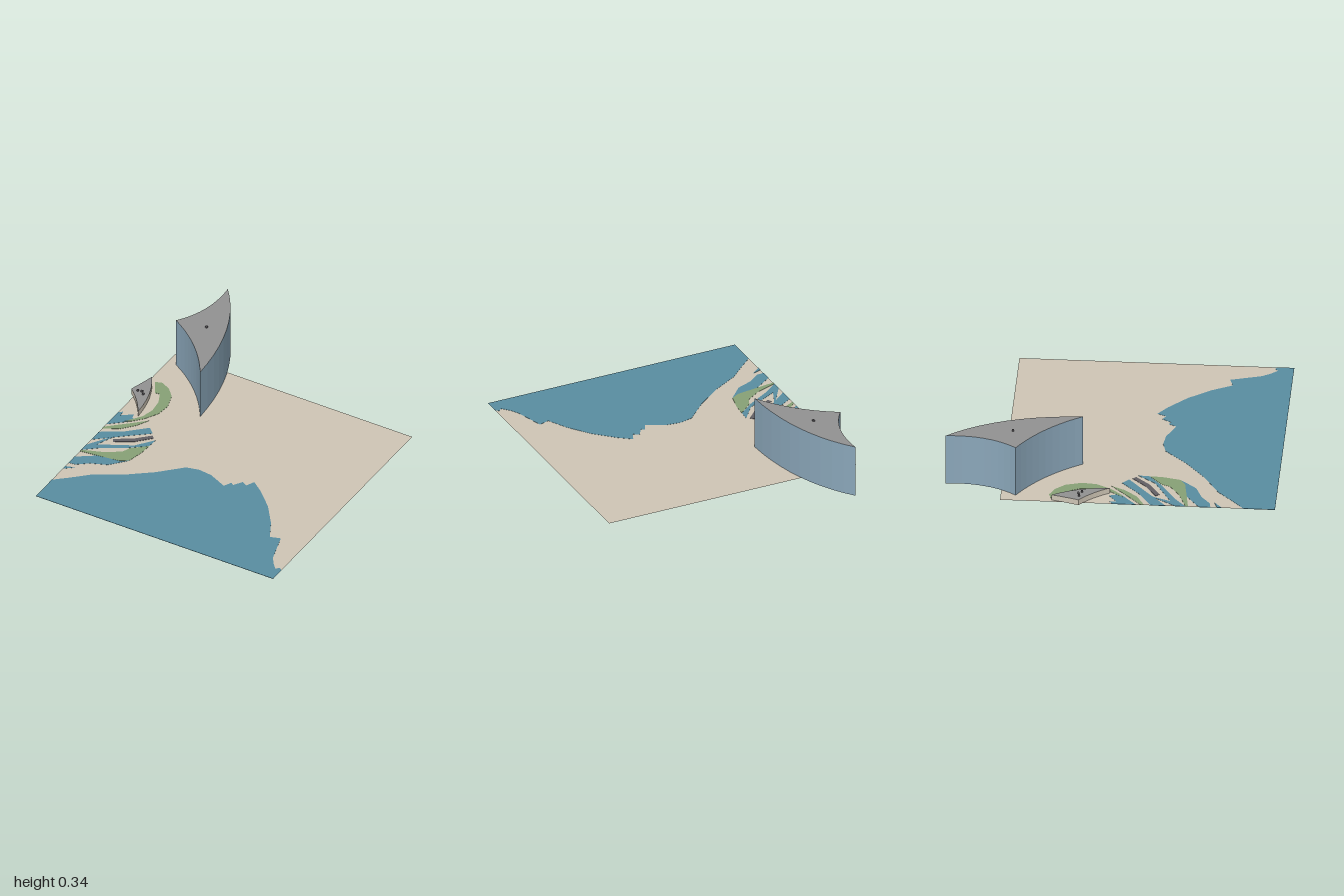
import * as THREE from 'three';

const mat = (color) => new THREE.MeshStandardMaterial({ color, side: THREE.DoubleSide, flatShading: true });
const SAND = mat(0xcfc6b6), WATER = mat(0x598ea1), GREEN = mat(0x87a176);
const DARK = mat(0x625f64), ROOF = mat(0x929292), GLASS = mat(0x8ba7ba);

// Plan outlines are [x, z] pairs; laid flat after being drawn as (x, -z)
const planShape = (pts) => new THREE.Shape(pts.map(([x, z]) => new THREE.Vector2(x, -z)));

function addMesh(parent, name, geometry, material) {
  const mesh = new THREE.Mesh(geometry, material);
  mesh.name = name;
  parent.add(mesh);
  return mesh;
}

// Flat patch, or a thin slab when it has a depth
function addPatch(parent, name, pts, material, y, depth) {
  const shape = planShape(pts);
  const geo = depth ? new THREE.ExtrudeGeometry(shape, { depth, bevelEnabled: false }) : new THREE.ShapeGeometry(shape);
  geo.rotateX(-Math.PI / 2).translate(0, y, 0);
  return addMesh(parent, name, geo, material);
}

// Walls swept up along a closed outline, open underneath
function wallGeometry(pts, height) {
  const pos = [];
  pts.forEach(([x, z], i) => {
    const [u, w] = pts[(i + 1) % pts.length];
    pos.push(x, 0, z, x, height, z, u, height, w, x, 0, z, u, height, w, u, 0, w);
  });
  const geo = new THREE.BufferGeometry();
  geo.setAttribute('position', new THREE.Float32BufferAttribute(pos, 3));
  geo.computeVertexNormals();
  return geo;
}

// Three corners joined by three bowed sides, clockwise from the back tip
function bowedTriangle(corners, controls, segments) {
  const pts = [];
  corners.forEach((a, i) => {
    const b = corners[(i + 1) % 3];
    const curve = new THREE.QuadraticBezierCurve(
      new THREE.Vector2(...a), new THREE.Vector2(...controls[i]), new THREE.Vector2(...b));
    curve.getPoints(segments).slice(0, -1).forEach((p) => pts.push([p.x, p.y]));
  });
  return pts;
}

function makeBuilding(name, outline, height, wallMaterial, vents) {
  const building = new THREE.Group();
  building.name = name;
  addMesh(building, 'walls', wallGeometry(outline, height), wallMaterial);
  addPatch(building, 'roof', outline, ROOF, height, 0);
  vents.forEach(([x, z]) => {
    addMesh(building, 'roofVent', new THREE.BoxGeometry(0.012, 0.01, 0.012), DARK)
      .position.set(x, height + 0.005, z);
  });
  return building;
}

export function createModel() {
  const model = new THREE.Group();
  model.name = 'coastalSite';

  // Ground sheet
  addPatch(model, 'ground', [[-0.815, -0.66], [0.84, -0.66], [0.84, 1], [-0.815, 1]], SAND, 0.001, 0);

  // Bay with a ragged shoreline
  addPatch(model, 'bay', [
    [-0.815, 0.81], [-0.73, 0.735], [-0.635, 0.645], [-0.47, 0.55], [-0.315, 0.43], [-0.18, 0.295],
    [-0.1, 0.275], [-0.01, 0.285], [0.11, 0.34], [0.135, 0.29], [0.155, 0.305], [0.19, 0.25],
    [0.225, 0.27], [0.25, 0.215], [0.33, 0.275], [0.445, 0.385], [0.545, 0.52], [0.61, 0.645],
    [0.675, 0.625], [0.73, 0.81], [0.76, 0.86], [0.8, 0.905], [0.82, 0.885], [0.84, 0.9],
    [0.84, 1], [-0.815, 1],
  ], WATER, 0, 0.002);

  // Slanting pools, visible from both sides of the sheet
  const pools = [
    [[-0.815, 0.02], [-0.79, 0], [-0.785, 0.04], [-0.72, -0.01], [-0.71, 0.03], [-0.69, 0.02], [-0.7, 0.06], [-0.815, 0.16]],
    [[-0.57, 0.06], [-0.525, 0.1], [-0.66, 0.21], [-0.815, 0.34], [-0.815, 0.25], [-0.68, 0.165]],
    [[-0.7, 0.22], [-0.76, 0.365], [-0.56, 0.26], [-0.475, 0.15], [-0.48, 0.22], [-0.58, 0.3], [-0.73, 0.39], [-0.815, 0.46], [-0.815, 0.4]],
    [[-0.815, 0.54], [-0.7, 0.46], [-0.51, 0.41], [-0.545, 0.45], [-0.6, 0.51], [-0.7, 0.55], [-0.77, 0.605], [-0.815, 0.61]],
    [[-0.815, 0.65], [-0.755, 0.63], [-0.815, 0.68]],
  ];
  pools.forEach((pts) => addPatch(model, 'pool', pts, WATER, 0, 0.002));

  // Planted beds
  const beds = [
    [[-0.775, -0.355], [-0.735, -0.37], [-0.67, -0.34], [-0.615, -0.28], [-0.585, -0.18], [-0.595, -0.09],
      [-0.645, 0], [-0.7, 0.06], [-0.735, 0.08], [-0.665, -0.02], [-0.645, -0.1], [-0.655, -0.19], [-0.69, -0.265], [-0.72, -0.26]],
    [[-0.61, 0], [-0.65, 0.08], [-0.72, 0.16], [-0.815, 0.21], [-0.815, 0.19], [-0.7, 0.085]],
    [[-0.48, 0.22], [-0.485, 0.3], [-0.51, 0.41], [-0.56, 0.44], [-0.7, 0.46], [-0.815, 0.475],
      [-0.815, 0.46], [-0.68, 0.41], [-0.59, 0.35], [-0.57, 0.3]],
  ];
  beds.forEach((pts) => addPatch(model, 'plantedBed', pts, GREEN, 0.001, 0.0015));

  // Curved walkway
  addPatch(model, 'walkway', [[-0.705, 0.27], [-0.6, 0.205], [-0.515, 0.12], [-0.495, 0.14], [-0.58, 0.23], [-0.69, 0.295]],
    DARK, 0.001, 0.002);

  // Tall tower and low pavilion
  const towerPlan = bowedTriangle(
    [[-0.645, -1], [-0.365, -0.19], [-0.755, -0.57]],
    [[-0.385, -0.695], [-0.51, -0.43], [-0.62, -0.745]], 10);
  model.add(makeBuilding('tower', towerPlan, 0.335, GLASS, [[-0.56, -0.6]]));

  const pavilionPlan = bowedTriangle(
    [[-0.795, -0.35], [-0.69, -0.005], [-0.842, -0.185]],
    [[-0.7, -0.21], [-0.75, -0.11], [-0.815, -0.267]], 6);
  model.add(makeBuilding('pavilion', pavilionPlan, 0.037, SAND, [[-0.797, -0.185], [-0.77, -0.19], [-0.75, -0.17]]));

  return model;
}
